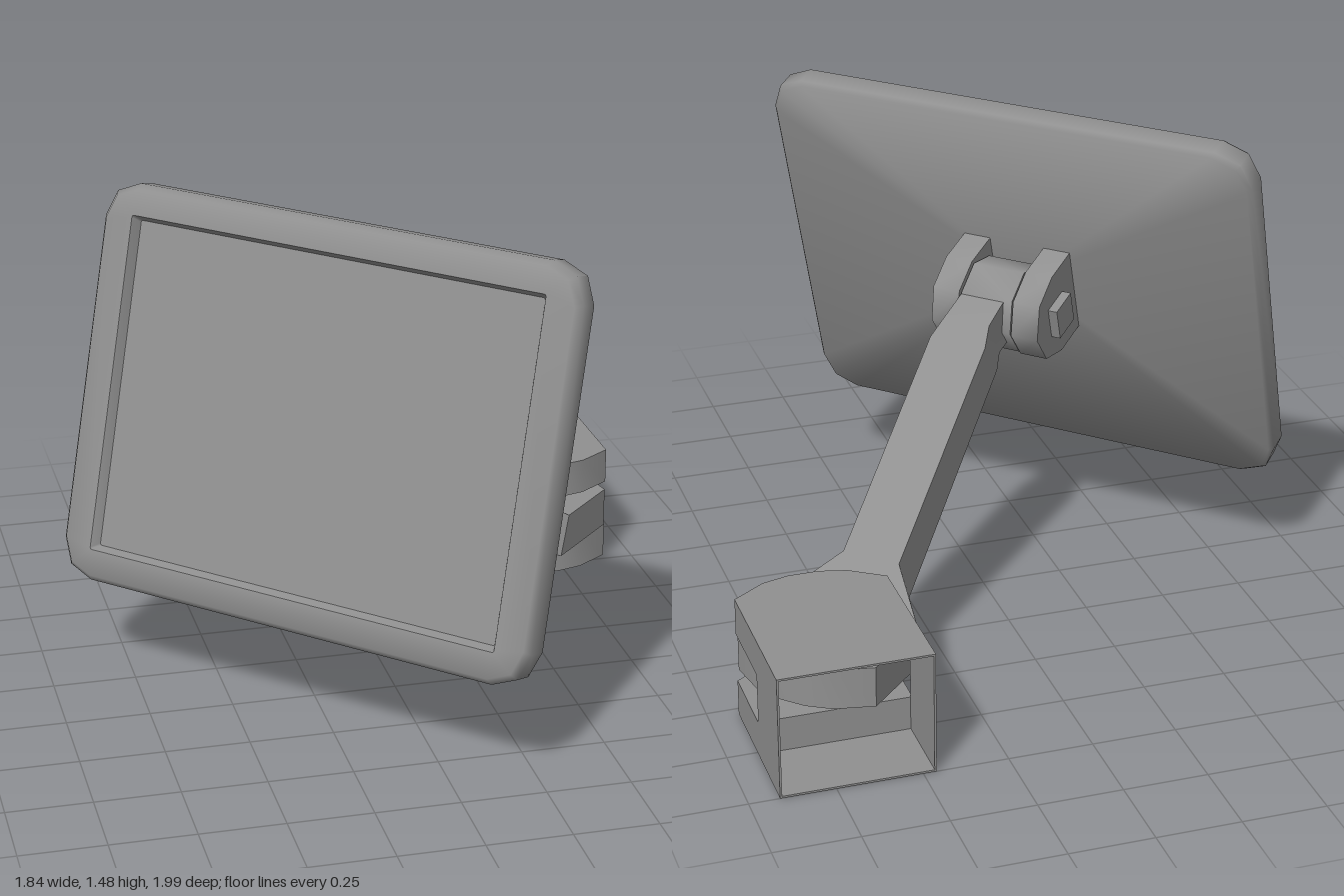
import * as THREE from 'three';
import { toCreasedNormals } from 'three/addons/utils/BufferGeometryUtils.js';

const material = new THREE.MeshStandardMaterial({ color: 0x909090, side: THREE.DoubleSide });

function add(parent, name, geometry, x = 0, y = 0, z = 0, crease = 0.65) {
  const mesh = new THREE.Mesh(toCreasedNormals(geometry, crease), material);
  mesh.name = name;
  mesh.position.set(x, y, z);
  parent.add(mesh);
}

// Skin a row of equal-length loops and close both ends with fans
function loft(loops) {
  const n = loops[0].length, pos = [], idx = [];
  loops.forEach(l => l.forEach(p => pos.push(...p)));
  for (let k = 0; k < loops.length - 1; k++)
    for (let i = 0; i < n; i++) {
      const a = k * n + i, b = k * n + (i + 1) % n;
      idx.push(a, b, b + n, a, b + n, a + n);
    }
  [[0, true], [loops.length - 1, false]].forEach(([k, flip]) => {
    const c = pos.length / 3;
    pos.push(...[0, 1, 2].map(d => loops[k].reduce((s, p) => s + p[d], 0) / n));
    for (let i = 0; i < n; i++) {
      const a = k * n + i, b = k * n + (i + 1) % n;
      idx.push(c, flip ? b : a, flip ? a : b);
    }
  });
  const g = new THREE.BufferGeometry();
  g.setAttribute('position', new THREE.Float32BufferAttribute(pos, 3));
  g.setIndex(idx);
  return g;
}

// Rounded rectangle loop at depth z
function roundedLoop(hw, hh, r, z) {
  const pts = [];
  [[1, 1], [-1, 1], [-1, -1], [1, -1]].forEach(([sx, sy], q) => {
    for (let i = 0; i <= 2; i++) {
      const a = (q + i / 2) * Math.PI / 2;
      pts.push([sx * (hw - r) + r * Math.cos(a), sy * (hh - r) + r * Math.sin(a), z]);
    }
  });
  return pts;
}

const toShape = pts => new THREE.Shape(pts.map(p => new THREE.Vector2(...p)));

// Outline in x and z, raised from y0 by h
function plate(pts, y0, h) {
  const g = new THREE.ExtrudeGeometry(toShape(pts.map(([x, z]) => [x, -z])), { depth: h, bevelEnabled: false });
  return g.rotateX(-Math.PI / 2).translate(0, y0, 0);
}

// Straight-sided plate outline from zFlat to zArc, ending in a shallow arc
function archOutline(zFlat, zArc) {
  const dir = Math.sign(zArc - zFlat);
  const arc = [[-0.225, 0], [-0.125, 0.068], [-0.045, 0.089], [0.045, 0.089], [0.125, 0.068], [0.225, 0]];
  return [[-0.225, zFlat], ...arc.map(([x, d]) => [x, zArc + dir * d]), [0.225, zFlat]];
}

// Outline in z and y, thickness t centred on x
function cheekPlate(pts, t) {
  const g = new THREE.ExtrudeGeometry(toShape(pts), { depth: t, bevelEnabled: false });
  return g.rotateY(-Math.PI / 2).translate(t / 2, 0, 0);
}

function createScreen() {
  const screen = new THREE.Group();
  screen.name = 'screen';
  // Housing: flat back, softened rim, bezel and recessed display
  add(screen, 'screenHousing', loft([
    roundedLoop(0.785, 0.59, 0.105, -0.05),
    roundedLoop(0.797, 0.6, 0.11, -0.035),
    roundedLoop(0.797, 0.6, 0.11, 0.03),
    roundedLoop(0.78, 0.583, 0.1, 0.052),
    roundedLoop(0.69, 0.505, 0.006, 0.052),
    roundedLoop(0.675, 0.492, 0.006, 0.022),
  ]), 0, 0, 0, 1.0);

  // Hinge bracket: two round-ended cheeks with square bolt heads
  const pivotZ = -0.176;
  const outline = [[-0.04, -0.14], [-0.04, 0.14]];
  for (let i = 0; i <= 4; i++) {
    const a = Math.PI / 2 + i * Math.PI / 4;
    outline.push([pivotZ + 0.14 * Math.cos(a), 0.14 * Math.sin(a)]);
  }
  for (const s of [-1, 1]) {
    add(screen, 'hingeCheek', cheekPlate(outline, 0.088), s * 0.135, 0, 0, 0.9);
    add(screen, 'hingeBolt', new THREE.BoxGeometry(0.05, 0.1, 0.1), s * 0.183, 0, pivotZ);
  }
  // Knuckle of the arm between the cheeks
  const knuckle = new THREE.CylinderGeometry(0.135, 0.135, 0.17, 8).rotateZ(Math.PI / 2);
  add(screen, 'armKnuckle', knuckle, 0, 0, pivotZ, 0.9);
  return screen;
}

function createArm() {
  const arm = new THREE.Group();
  arm.name = 'arm';
  // Sections: bottom z, bottom y, top z, top y, half width
  const sections = [
    [0.2, 0.78, 0.15, 0.92, 0.07],
    [0.08, 0.755, 0.01, 0.87, 0.075],
    [0.03, 0.72, -0.05, 0.825, 0.092],
    [-0.54, 0.22, -0.6, 0.36, 0.092],
    [-0.686, 0.125, -0.735, 0.25, 0.225],
    [-0.76, 0.125, -0.76, 0.25, 0.225],
  ];
  add(arm, 'armBeam', loft(sections.map(([zb, yb, zt, yt, w]) =>
    [[w, yb, zb], [-w, yb, zb], [-w, yt, zt], [w, yt, zt]])));

  // Flat tongue reaching into the base
  add(arm, 'armTongue', plate(archOutline(-0.76, -0.985).reverse(), 0.125, 0.125));
  return arm;
}

function createBase() {
  const base = new THREE.Group();
  base.name = 'base';
  // Open-backed sleeve
  const w = 0.225, t = 0.006, h = 0.375;
  const sleeve = toShape([[-w, 0], [w, 0], [w, h], [-w, h]]);
  sleeve.holes.push(new THREE.Path([[-w + t, t], [-w + t, h - t], [w - t, h - t], [w - t, t]]
    .map(p => new THREE.Vector2(...p))));
  add(base, 'sleeve', new THREE.ExtrudeGeometry(sleeve, { depth: 0.23, bevelEnabled: false }), 0, 0, -1);
  // Upper and lower prongs with curved fronts
  const prong = archOutline(-0.77, -0.53);
  add(base, 'lowerProng', plate(prong, 0, 0.11));
  add(base, 'upperProng', plate(prong, 0.263, 0.112));
  return base;
}

export function createModel() {
  const model = new THREE.Group();
  model.name = 'displayOnArm';

  // Arm and screen swing together about the vertical axis
  const swing = new THREE.Group();
  swing.name = 'swingAssembly';
  swing.rotation.y = -Math.PI / 4;
  const screen = createScreen();
  screen.position.set(0.045, 0.893, 0.4);
  screen.rotation.x = -0.268;
  const arm = createArm();
  arm.position.x = 0.06;
  swing.add(screen, arm);

  const base = createBase();
  base.position.x = 0.686;
  model.add(swing, base);
  return model;
}
